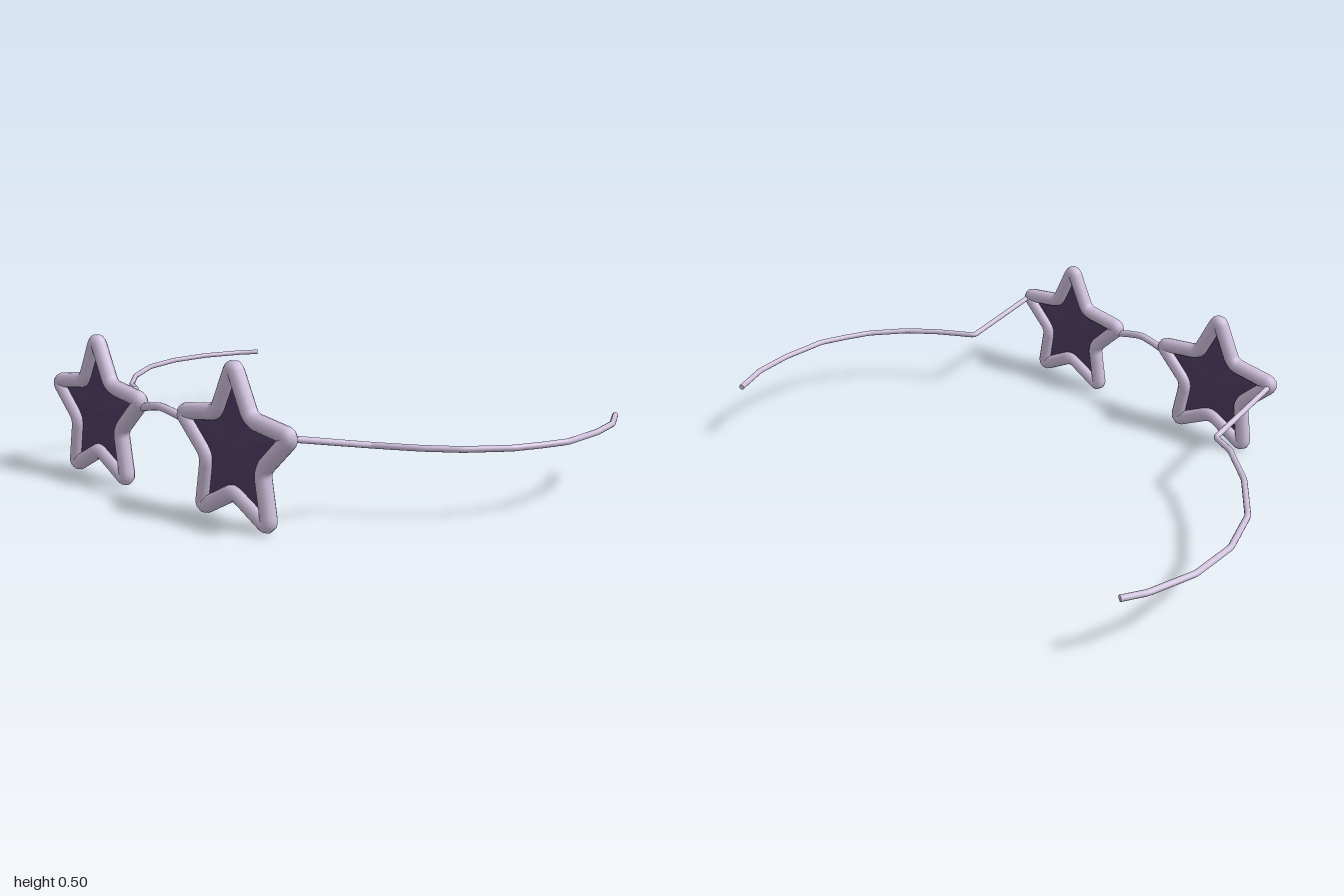
import * as THREE from 'three';

const frameMaterial = new THREE.MeshStandardMaterial({ color: 0xcdbfdb });
const lensMaterial = new THREE.MeshStandardMaterial({ color: 0x4d3d63, flatShading: true });

const FRONT_Z = 0.6;
const LENS_X = 0.35;
const LENS_Y = 0.229;

// Ten corners of a five-pointed star, counter-clockwise from the top tip
function starPoints(outer, inner) {
  return Array.from({ length: 10 }, (_, i) => {
    const a = Math.PI / 2 + (i * Math.PI) / 5;
    const r = i % 2 ? inner : outer;
    return new THREE.Vector3(r * Math.cos(a), r * Math.sin(a), 0);
  });
}

// Straight runs joined by small rounded corners
function roundedPath(points, corner, closed) {
  const path = new THREE.CurvePath();
  const n = points.length;
  const toward = (a, b) => a.clone().add(b.clone().sub(a).setLength(corner));
  for (let i = 0; i < (closed ? n : n - 1); i++) {
    const a = points[i], b = points[(i + 1) % n], c = points[(i + 2) % n];
    const start = closed || i > 0 ? toward(a, b) : a;
    const turns = closed || i < n - 2;
    const end = turns ? toward(b, a) : b;
    path.add(new THREE.LineCurve3(start, end));
    if (turns) path.add(new THREE.QuadraticBezierCurve3(end, b, toward(b, c)));
  }
  return path;
}

function wire(name, points, radius, corner, segments, closed = false) {
  const path = roundedPath(points, corner, closed);
  const group = new THREE.Group();
  group.name = name;
  const tube = new THREE.Mesh(new THREE.TubeGeometry(path, segments, radius, 12, closed), frameMaterial);
  tube.name = name + 'Tube';
  group.add(tube);
  // Flat caps on open ends
  if (!closed) {
    for (const t of [0, 1]) {
      const end = path.getPointAt(t);
      const cap = new THREE.Mesh(new THREE.CircleGeometry(radius, 12), frameMaterial);
      cap.name = name + 'Cap';
      cap.position.copy(end);
      cap.lookAt(end.clone().addScaledVector(path.getTangentAt(t), t ? 1 : -1));
      group.add(cap);
    }
  }
  return group;
}

// Thin faceted star, raised to a low point on both faces
function lensGeometry(outer, inner, depth) {
  const rim = starPoints(outer, inner);
  const positions = [];
  rim.forEach((a, i) => {
    const b = rim[(i + 1) % rim.length];
    positions.push(0, 0, depth, ...a.toArray(), ...b.toArray());
    positions.push(0, 0, -depth, ...b.toArray(), ...a.toArray());
  });
  const geometry = new THREE.BufferGeometry();
  geometry.setAttribute('position', new THREE.Float32BufferAttribute(positions, 3));
  geometry.computeVertexNormals();
  return geometry;
}

export function createModel() {
  const model = new THREE.Group();
  model.name = 'starGlasses';

  // Star rims and lenses
  const lensShape = lensGeometry(0.245, 0.13, 0.02);
  for (const [side, sign] of [['left', 1], ['right', -1]]) {
    const eye = new THREE.Group();
    eye.name = side + 'Eye';
    eye.position.set(sign * LENS_X, LENS_Y, FRONT_Z);
    const lens = new THREE.Mesh(lensShape, lensMaterial);
    lens.name = side + 'Lens';
    eye.add(wire(side + 'Rim', starPoints(0.258, 0.128), 0.027, 0.03, 300, true), lens);
    model.add(eye);
  }

  // Arched nose bridge
  const bridge = [[-0.13, 0.28, 0.598], [-0.06, 0.297, 0.603], [0, 0.307, 0.606],
    [0.06, 0.297, 0.603], [0.13, 0.28, 0.598]].map((p) => new THREE.Vector3(...p));
  model.add(wire('bridge', bridge, 0.013, 0.02, 40));

  // Bowed temple arms as [x, z], sloping down to the first bend and level after it
  const arms = {
    leftTemple: [[0.588, 0.595], [0.594, 0.278], [0.65, 0.245], [0.73, 0.195], [0.825, 0.118], [0.917, 0],
      [0.955, -0.09], [0.988, -0.187], [0.983, -0.36], [0.955, -0.5], [0.893, -0.622]],
    rightTemple: [[-0.588, 0.595], [-0.59, 0.272], [-0.675, 0.233], [-0.81, 0.115], [-0.935, -0.05],
      [-0.99, -0.22], [-0.99, -0.39], [-0.945, -0.55], [-0.905, -0.622]],
  };
  for (const [name, plan] of Object.entries(arms)) {
    const points = plan.map(([x, z], i) => new THREE.Vector3(x, i ? 0.231 : 0.303, z));
    model.add(wire(name, points, 0.01, 0.012, 160));
  }

  return model;
}
